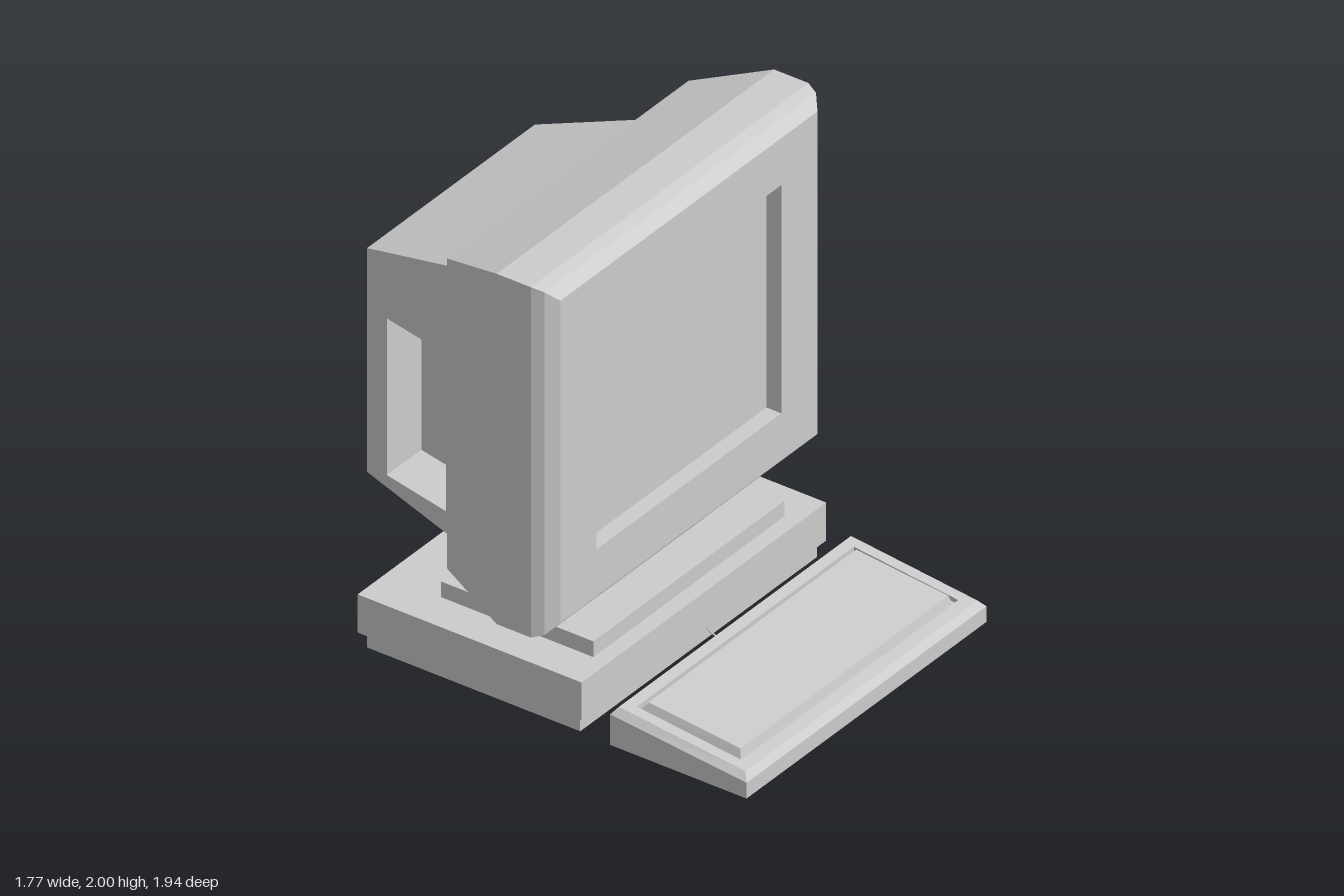
import * as THREE from 'three';

const solid = new THREE.MeshStandardMaterial({ color: 0xcccccc, flatShading: true });
const sheet = new THREE.MeshStandardMaterial({ color: 0xcccccc, flatShading: true, side: THREE.DoubleSide });

// Rectangular cross-sections, counter-clockwise seen from the end of the sweep
const ringXY = (w, y0, y1, z) => [[-w, y0, z], [w, y0, z], [w, y1, z], [-w, y1, z]];
// Horizontal ring whose front and back edges may differ in height
const ringXZ = (w, zf, zb, yf, yb = yf) => [[-w, yf, zf], [w, yf, zf], [w, yb, zb], [-w, yb, zb]];

// Skin four-cornered rings, with optional caps and one optional missing side
function loft(rings, { start = false, end = false, skip = -1 } = {}) {
  const pos = [];
  const quad = (a, b, c, d) => pos.push(...a, ...b, ...c, ...a, ...c, ...d);
  for (let r = 0; r < rings.length - 1; r++) {
    const a = rings[r], b = rings[r + 1];
    for (let i = 0; i < 4; i++) {
      const j = (i + 1) % 4;
      if (i !== skip) quad(a[i], a[j], b[j], b[i]);
    }
  }
  if (start) quad(...[...rings[0]].reverse());
  if (end) quad(...rings[rings.length - 1]);
  const geo = new THREE.BufferGeometry();
  geo.setAttribute('position', new THREE.Float32BufferAttribute(pos, 3));
  geo.computeVertexNormals();
  return geo;
}

function part(parent, name, geo, mat = solid) {
  const mesh = new THREE.Mesh(geo, mat);
  mesh.name = name;
  parent.add(mesh);
  return mesh;
}

function group(parent, name) {
  const g = new THREE.Group();
  g.name = name;
  parent.add(g);
  return g;
}

function buildMonitor(root) {
  const g = group(root, 'monitor');
  // Bevelled front case, ending in the recessed screen opening
  const opening = ringXY(0.59, 0.71, 1.73, 0.07);
  part(g, 'monitorCase', loft([
    ringXY(0.65, 0.54, 1.78, -0.435),
    ringXY(0.77, 0.505, 1.89, -0.425),
    ringXY(0.885, 0.435, 2.0, -0.11),
    ringXY(0.885, 0.435, 2.0, 0.05),
    ringXY(0.865, 0.455, 1.985, 0.1),
    ringXY(0.82, 0.5, 1.94, 0.14),
    ringXY(0.59, 0.71, 1.73, 0.14),
    opening,
  ], { start: true }));
  part(g, 'screen', loft([opening], { end: true }));

  // Tapered rear housing, its right side left out for the pierced panel
  const zb = -0.97, zf = -0.43;
  part(g, 'rearHousing', loft([
    ringXY(0.535, 0.61, 1.61, zb),
    ringXY(0.655, 0.54, 1.78, zf),
  ], { start: true, skip: 3 }));

  // Right side panel with a rectangular hole, laid onto the sloping side
  const sideX = z => -(0.535 + (z - zb) * 0.12 / (zf - zb));
  const toPoints = list => list.map(p => new THREE.Vector2(...p));
  const hole = [[-0.86, 0.65], [-0.53, 0.65], [-0.53, 1.35], [-0.86, 1.35]];
  const shape = new THREE.Shape(toPoints([[zb, 0.61], [zf, 0.54], [zf, 1.78], [zb, 1.61]]));
  shape.holes.push(new THREE.Path(toPoints(hole)));
  const panel = new THREE.ShapeGeometry(shape);
  const p = panel.attributes.position;
  for (let i = 0; i < p.count; i++) {
    const z = p.getX(i);
    p.setXYZ(i, sideX(z), p.getY(i), z);
  }
  panel.computeVertexNormals();
  part(g, 'rearHousingSide', panel);
  const holeRing = depth => hole.map(([z, y]) => [sideX(z) + depth, y, z]);
  part(g, 'sideRecess', loft([holeRing(0), holeRing(0.22)], { end: true }));
}

function buildStand(root) {
  const g = group(root, 'stand');
  // Hollow base with a stepped-in foot, open underneath
  part(g, 'base', loft([
    ringXZ(0.755, 0.185, -0.81, 0),
    ringXZ(0.755, 0.185, -0.81, 0.07),
    ringXZ(0.78, 0.21, -0.835, 0.07),
    ringXZ(0.78, 0.21, -0.835, 0.24),
  ], { end: true }), sheet);
  part(g, 'plate', loft([
    ringXZ(0.61, 0.14, -0.57, 0.24),
    ringXZ(0.61, 0.14, -0.57, 0.31),
  ], { end: true }));
  part(g, 'neck', loft([
    ringXZ(0.325, -0.03, -0.4, 0.31),
    ringXZ(0.325, -0.03, -0.4, 0.45, 0.51),
  ], { end: true }));
}

function buildKeyboard(root) {
  const g = group(root, 'keyboard');
  // Sloping case: sides, bevel, top border, then a groove round the keys
  const topY = z => 0.1 + (0.945 - z) * 0.112;
  const sloped = (w, zf, zb, dy = 0) => ringXZ(w, zf, zb, topY(zf) + dy, topY(zb) + dy);
  part(g, 'keyboardCase', loft([
    ringXZ(0.765, 0.968, 0.332, 0),
    ringXZ(0.765, 0.968, 0.332, 0.07, 0.137),
    sloped(0.74, 0.945, 0.355),
    sloped(0.692, 0.89, 0.403),
    sloped(0.692, 0.89, 0.403, -0.02),
    sloped(0.678, 0.875, 0.405, -0.02),
  ]), sheet);
  part(g, 'keyBlock', loft([
    sloped(0.678, 0.875, 0.405, -0.02),
    ringXZ(0.662, 0.865, 0.437, 0.132, 0.176),
  ], { end: true }), sheet);
}

function buildCable(root) {
  // Thin kinked lead between keyboard and base
  const path = new THREE.CatmullRomCurve3([
    [-0.07, 0.34], [-0.035, 0.295], [0.01, 0.27], [0.03, 0.22], [0.05, 0.185],
  ].map(([x, z]) => new THREE.Vector3(x, 0.052, z)));
  part(root, 'cable', new THREE.TubeGeometry(path, 10, 0.004, 5));
}

export function createModel() {
  const root = new THREE.Group();
  root.name = 'desktopComputer';
  buildMonitor(root);
  buildStand(root);
  buildKeyboard(root);
  buildCable(root);
  return root;
}
